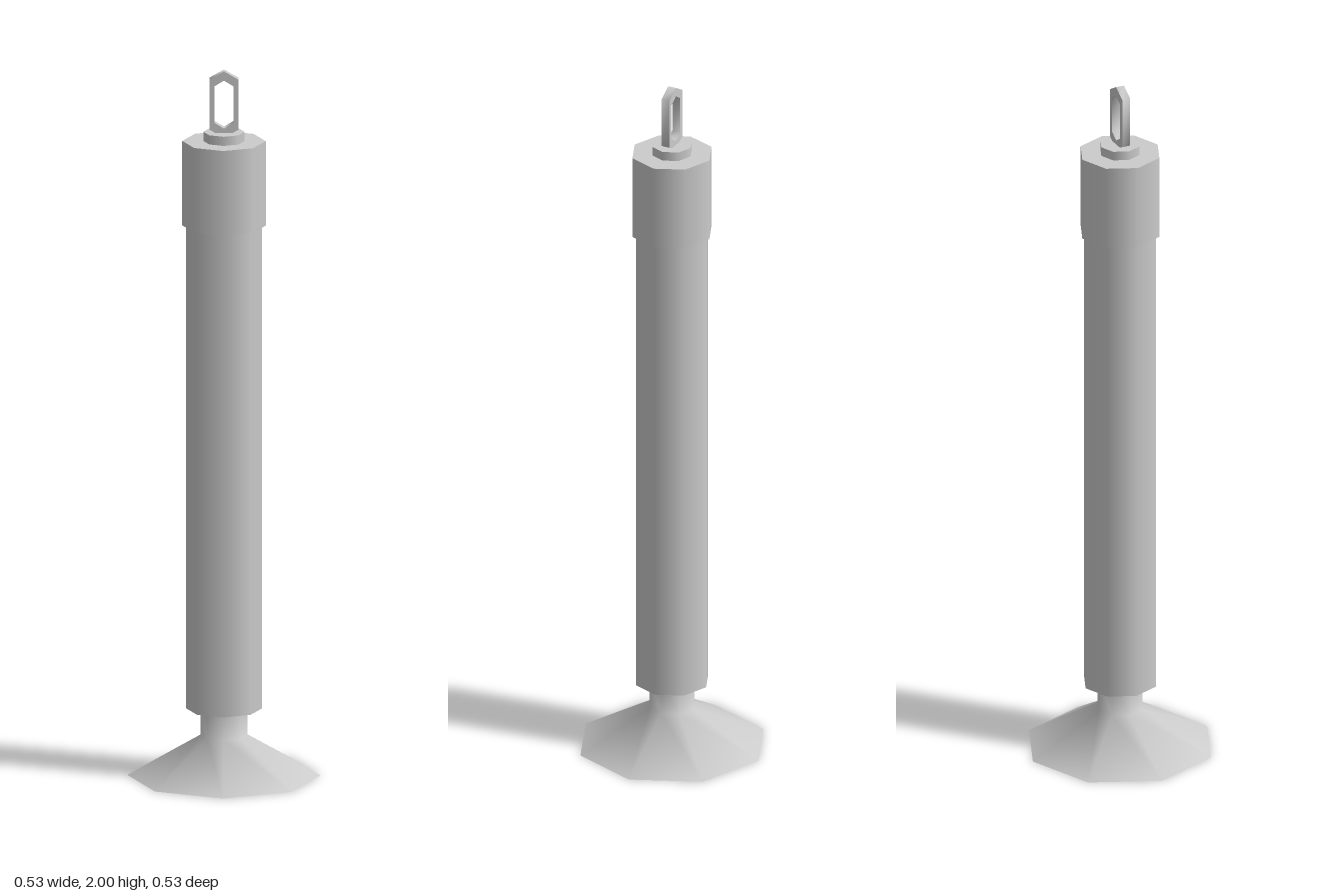
import * as THREE from 'three';
import { toCreasedNormals } from 'three/addons/utils/BufferGeometryUtils.js';

const SIDES = 8;
const CREASE = 1.2;

export function createModel() {
  const model = new THREE.Group();
  model.name = 'suctionTube';
  const grey = new THREE.MeshStandardMaterial({ color: 0xcccccc });

  const add = (name, geometry) => {
    const mesh = new THREE.Mesh(geometry, grey);
    mesh.name = name;
    model.add(mesh);
    return mesh;
  };

  // Octagonal prism between two heights
  const prism = (name, radius, y0, y1) => {
    const mesh = add(name, new THREE.CylinderGeometry(radius, radius, y1 - y0, SIDES));
    mesh.position.y = (y0 + y1) / 2;
  };

  // Flared foot with its neck running up into the tube
  const profile = [[0, 0.005], [0.266, 0.005], [0.065, 0.115], [0.065, 0.2]]
    .map(([r, y]) => new THREE.Vector2(r, y));
  profile[0].y = profile[1].y = 0;
  add('foot', toCreasedNormals(new THREE.LatheGeometry(profile, SIDES), CREASE));

  // Long tube, wider collar and small boss on top
  prism('tube', 0.105, 0.19, 1.57);
  prism('collar', 0.115, 1.56, 1.8);
  prism('boss', 0.057, 1.795, 1.826);

  // Stretched hexagonal eyelet, its lower tip sunk in the boss
  const hexagon = (halfWidth, bottom, top, shoulder) => [
    [0, top], [-halfWidth, top - shoulder], [-halfWidth, bottom + shoulder],
    [0, bottom], [halfWidth, bottom + shoulder], [halfWidth, top - shoulder],
  ].map(([x, y]) => new THREE.Vector2(x, y));

  const ring = new THREE.Shape(hexagon(0.04, 1.812, 2, 0.023));
  ring.holes.push(new THREE.Path(hexagon(0.026, 1.838, 1.974, 0.016)));
  const depth = 0.024;
  const ringGeometry = new THREE.ExtrudeGeometry(ring, { depth, bevelEnabled: false });
  ringGeometry.translate(0, 0, -depth / 2);
  add('eyelet', toCreasedNormals(ringGeometry, CREASE));

  return model;
}
